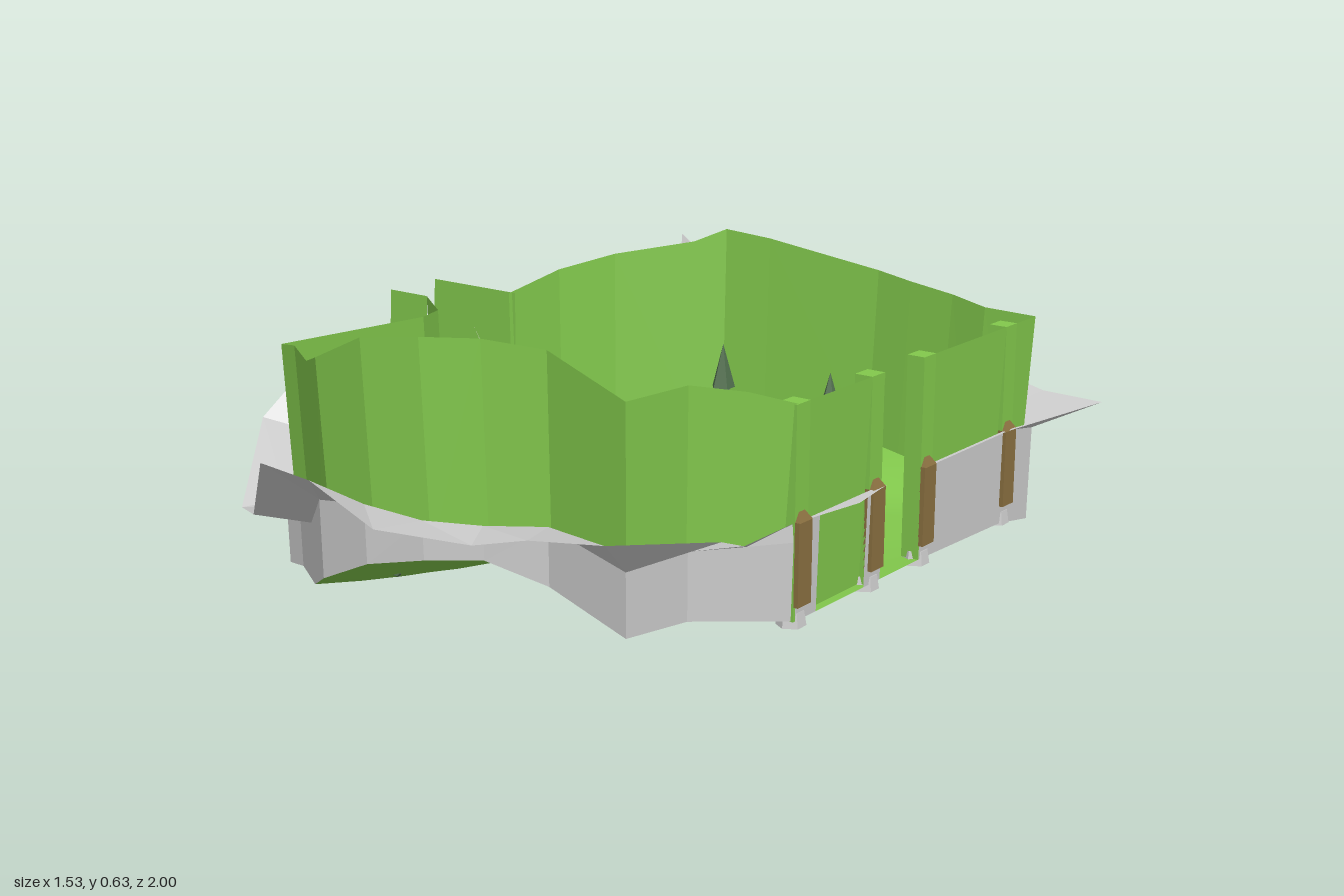
import * as THREE from 'three';

const paint = (color, flat = true) =>
  new THREE.MeshStandardMaterial({ color, flatShading: flat, side: THREE.DoubleSide });

// Each row: wall x, z | ground y, ledge y, wall top y | lip x, z, y
const back = [
  [-0.49, -0.13, 0.03, 0.17, 0.46, -0.61, -0.14, 0.36],
  [-0.48, -0.3, 0.03, 0.18, 0.49, -0.605, -0.22, 0.42],
  [-0.43, -0.45, 0.03, 0.19, 0.51, -0.57, -0.38, 0.44],
  [-0.28, -0.57, 0.03, 0.2, 0.54, -0.51, -0.62, 0.35],
  [-0.22, -0.62, 0.03, 0.2, 0.57, -0.48, -0.77, 0.17],
  [-0.1, -0.63, 0.04, 0.22, 0.56, -0.04, -0.72, 0.23],
  [0.2, -0.64, 0.04, 0.24, 0.52, 0.11, -0.68, 0.25],
  [0.3, -0.62, 0.04, 0.24, 0.51, 0.22, -0.74, 0.32],
  [0.42, -0.6, 0.04, 0.24, 0.5, 0.45, -0.73, 0.31],
  [0.52, -0.57, 0.03, 0.24, 0.49, 0.61, -0.69, 0.29],
  [0.65, -0.56, 0.03, 0.24, 0.49, 0.76, -0.68, 0.29],
];
const leftBack = [
  [0.65, -0.56, 0.03, 0.24, 0.49, 0.76, -0.68, 0.29],
  [0.65, -0.44, 0.05, 0.26, 0.49, 0.66, -0.44, 0.26],
  [0.65, -0.1, 0.06, 0.26, 0.49, 0.66, -0.1, 0.26],
];
const leftGate = [
  [0.65, 0.05, 0.06, 0.26, 0.49, 0.66, 0.05, 0.26],
  [0.65, 0.18, 0.06, 0.26, 0.49, 0.68, 0.18, 0.26],
  [0.65, 0.35, 0.06, 0.26, 0.49, 0.65, 0.35, 0.26],
];
const front = [
  [0.65, 0.35, 0.06, 0.22, 0.49, 0.65, 0.35, 0.26],
  [0.59, 0.43, 0.07, 0.22, 0.52, 0.67, 0.55, 0.27],
  [0.52, 0.52, 0.08, 0.22, 0.54, 0.59, 0.51, 0.25],
  [0.5, 0.68, 0.09, 0.22, 0.54, 0.58, 0.84, 0.33],
  [0.3, 0.66, 0.14, 0.26, 0.6, 0.36, 0.79, 0.28],
  [0.2, 0.73, 0.19, 0.26, 0.62, 0.26, 0.83, 0.26],
  [0.13, 0.82, 0.2, 0.28, 0.63, 0.16, 0.98, 0.31],
  [0.02, 0.86, 0.18, 0.3, 0.62, 0.02, 1.0, 0.38],
  [-0.11, 0.85, 0.12, 0.28, 0.56, -0.13, 0.98, 0.38],
  [-0.22, 0.77, 0.06, 0.19, 0.52, -0.28, 0.87, 0.22],
  [-0.36, 0.67, 0.04, 0.17, 0.51, -0.45, 0.75, 0.17],
];
const right = [
  [-0.36, 0.67, 0.04, 0.17, 0.51, -0.45, 0.75, 0.17],
  [-0.42, 0.65, 0.03, 0.17, 0.5, -0.63, 0.52, 0.28],
  [-0.44, 0.35, 0.01, 0.2, 0.48, -0.6, 0.33, 0.43],
  [-0.45, 0.2, 0.01, 0.2, 0.47, -0.54, 0.27, 0.44],
  [-0.5, 0.1, 0.02, 0.2, 0.46, -0.6, 0.14, 0.3],
  [-0.62, 0.01, 0.03, 0.18, 0.46, -0.62, 0.02, 0.22],
];

// Strip of quads lofted through a list of equally long point rows
function loft(rows, material, name, closed = false) {
  const n = rows[0].length, idx = [];
  for (let r = 0; r < rows.length - 1; r++)
    for (let i = 0; i < (closed ? n : n - 1); i++) {
      const a = r * n + i, b = r * n + (i + 1) % n;
      idx.push(a, b, a + n, b, b + n, a + n);
    }
  const g = new THREE.BufferGeometry();
  g.setAttribute('position', new THREE.Float32BufferAttribute(rows.flat(2), 3));
  g.setIndex(idx);
  g.computeVertexNormals();
  const mesh = new THREE.Mesh(g, material);
  mesh.name = name;
  return mesh;
}

// Gentle rise of the grass toward the back
const rise = (x, z) => 0.08 * THREE.MathUtils.smoothstep(-z, 0.15, 0.55) * Math.max(0, 1 - (x / 0.65) ** 2);

export function createModel() {
  const model = new THREE.Group();
  const grass = paint(0x82c84c), rock = paint(0xcccccc), wood = paint(0x8a7040), leaf = paint(0x52704f);
  const add = (parent, geometry, material, name, x, y, z) => {
    const m = new THREE.Mesh(geometry, material);
    m.name = name;
    m.position.set(x, y, z);
    parent.add(m);
    return m;
  };

  // Green walls, grey cliff below them and the outward flaring lip
  for (const [name, rows] of Object.entries({ back, leftBack, leftGate, front, right })) {
    const base = rows.map(r => [r[0] * 0.97, r[2] + rise(r[0], r[1]), r[1] * 0.97]);
    const foot = rows.map(r => [r[0], r[2], r[1]]);
    const ledge = rows.map(r => [r[0] * 1.004, r[3], r[1] * 1.004]);
    const top = rows.map(r => [r[0], r[4], r[1]]);
    const lip = rows.map(r => [r[5], r[7], r[6]]);
    model.add(loft([base, top], grass, name + 'Wall'));
    if (name !== 'leftGate') model.add(loft([foot, ledge], rock, name + 'Cliff'));
    model.add(loft([ledge, lip], rock, name + 'Lip'));
  }
  // Pointed end of the lip at the back right corner
  model.add(loft([
    [[-0.48, 0.17, -0.77], [-0.26, 0.2, -0.745], [-0.04, 0.23, -0.72]],
    [[-0.59, 0.35, -0.92], [-0.36, 0.34, -0.87], [-0.14, 0.28, -0.79]],
    [[-0.64, 0.45, -1], [-0.64, 0.45, -1], [-0.14, 0.28, -0.79]],
  ], rock, 'cliffSpike'));
  // Rock beside the gate
  for (const [z0, z1] of [[0.05, 0.11], [0.28, 0.35]])
    model.add(loft([[[0.65, 0.06, z0], [0.65, 0.06, z1]], [[0.655, 0.26, z0], [0.655, 0.26, z1]]], rock, 'gateCliff'));

  // Dished ground out to the foot of the walls
  const outline = [...back, ...leftBack.slice(1), ...leftGate, ...front.slice(1), ...right.slice(1)];
  const rings = [];
  for (let k = 0; k <= 8; k++) {
    const t = k / 8;
    rings.push(outline.map(r => {
      const x = r[0] * t, z = -0.05 + (r[1] + 0.05) * t;
      const dip = 0.03 * t * (1 - t) * (r[0] < 0 ? 4 : 1);
      return [x, Math.max(0, 0.045 + (r[2] - 0.045) * t ** 1.5 - dip) + rise(x, z), z];
    }));
  }
  model.add(loft(rings, paint(0x82c84c, false), 'ground', true));

  // Open passage on the right: floor, two walls and low rock outside them
  model.add(loft([
    [[-0.46, 0.03, -0.14], [-0.46, 0.03, 0.01]],
    [[-0.77, 0.04, -0.15], [-0.77, 0.04, 0.01]],
  ], grass, 'passageFloor'));
  for (const [z, out, inner] of [[-0.14, -0.15, -0.48], [0.01, 0.02, -0.62]]) {
    model.add(loft([
      [[inner, 0.03, z], [-0.765, 0.03, z]],
      [[inner, 0.17, z], [-0.75, 0.17, z]],
      [[inner, 0.46, z], [-0.735, 0.46, z]],
    ], grass, 'passageWall'));
    model.add(loft([
      [[inner, 0.03, out], [-0.76, 0.03, out]],
      [[inner, 0.17, out], [-0.69, 0.16, out]],
    ], rock, 'passageRock'));
  }

  // Green gate pillars faced with pointed wood on the outside, on stone feet
  for (const z of [0.335, 0.075, -0.12, -0.455]) {
    const post = new THREE.Group();
    post.name = 'gatePost';
    add(post, new THREE.BoxGeometry(0.04, 0.43, 0.045), grass, 'pillar', 0.63, 0.275, z);
    add(post, new THREE.BoxGeometry(0.02, 0.17, 0.045), wood, 'postShaft', 0.65, 0.175, z);
    add(post, new THREE.ConeGeometry(0.03, 0.035, 4).rotateY(Math.PI / 4), wood, 'postPoint', 0.64, 0.277, z);
    add(post, new THREE.CylinderGeometry(0.025, 0.03, 0.03, 6), rock, 'postFoot', 0.63, 0.06, z);
    model.add(post);
  }

  // Tiered trees: x, z, ground y, radius, height
  const trees = [
    [-0.14, -0.5, 0.1, 0.052, 0.22], [0.21, -0.43, 0.09, 0.058, 0.23],
    [0.36, 0.4, 0.06, 0.058, 0.32], [0.07, 0.58, 0.13, 0.052, 0.23],
    [-0.13, -0.17, 0.03, 0.034, 0.08], [0.12, -0.18, 0.04, 0.034, 0.08],
    [0.37, -0.15, 0.04, 0.042, 0.08], [-0.12, 0.1, 0.03, 0.034, 0.08],
    [0.14, 0.15, 0.04, 0.034, 0.08], [0.35, 0.14, 0.04, 0.045, 0.09],
  ];
  for (const [x, z, y, r, h] of trees) {
    const tree = new THREE.Group();
    tree.name = 'tree';
    tree.position.set(x, y, z);
    add(tree, new THREE.CylinderGeometry(r * 0.3, r * 0.4, h * 0.4, 5), leaf, 'trunk', 0, h * 0.2, 0);
    for (let i = 0; i < 3; i++) {
      const s = r * (1 - i * 0.22), len = h * (i === 2 ? 0.48 : 0.24);
      add(tree, new THREE.CylinderGeometry(i === 2 ? 0 : s * 0.35, s, len, 5), leaf, 'foliage',
        0, h * (0.06 + i * 0.23) + len / 2, 0).rotation.y = i * 0.5;
    }
    model.add(tree);
  }

  // Small stones on the grass
  for (const [x, z, y] of [[-0.31, -0.4, 0.06], [0.32, -0.38, 0.08], [0.41, -0.31, 0.06],
    [-0.27, 0.3, 0.02], [0.15, 0.34, 0.07], [-0.08, 0.68, 0.09]])
    add(model, new THREE.DodecahedronGeometry(0.009), leaf, 'stone', x, y, z);

  return model;
}
